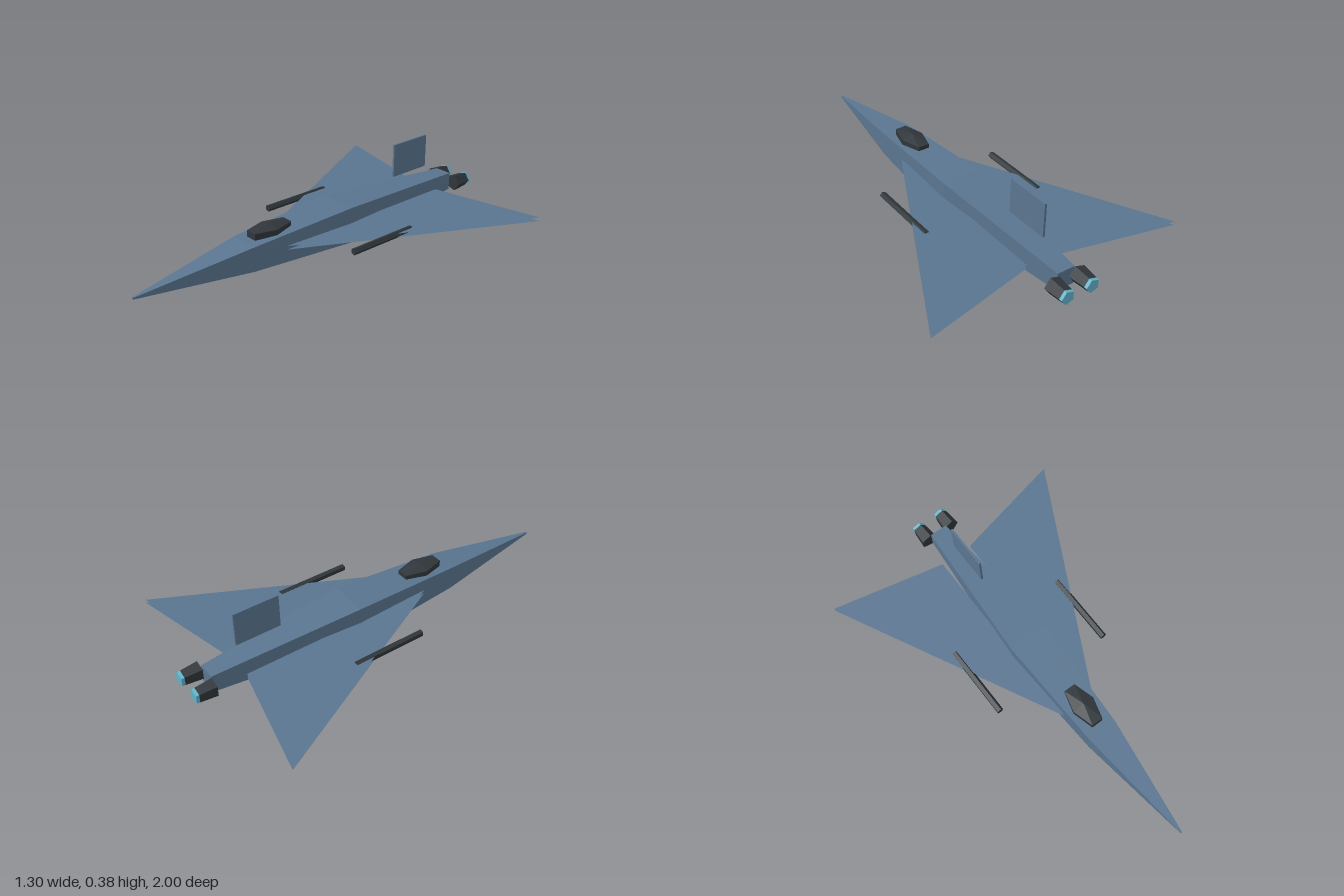
import * as THREE from 'three';

const mat = (name, color, extra = {}) =>
  Object.assign(new THREE.MeshStandardMaterial({ color, ...extra }), { name });

// faceted normals
const facet = (g) => {
  const f = g.index ? g.toNonIndexed() : g;
  f.computeVertexNormals();
  return f;
};

export function createModel() {
  const model = new THREE.Group();
  model.name = 'deltaJet';
  const blue = mat('slateBlue', 0x5a7590, { side: THREE.DoubleSide });
  const dark = mat('charcoal', 0x30363b);
  const white = mat('paleGrey', 0xd0d0cc);
  const teal = mat('exhaustTeal', 0x62b4cc);

  const add = (name, geometry, material, x = 0, y = 0, z = 0) => {
    const m = new THREE.Mesh(facet(geometry), material);
    m.name = name;
    m.position.set(x, y, z);
    model.add(m);
    return m;
  };

  // five-sided rod along z, one corner toward +x
  const rod = (rFront, rBack, length) =>
    new THREE.CylinderGeometry(rFront, rBack, length, 5, 1, false, Math.PI / 2).rotateX(Math.PI / 2);

  // fuselage: rectangular sections, each [z, half width, bottom, top]
  const sections = [
    [-0.9, 0.045, 0.05, 0.14],
    [-0.15, 0.1, 0, 0.183],
    [0.42, 0.075, 0.03, 0.152],
    [1, 0.004, 0.076, 0.084],
  ];
  const body = new THREE.BoxGeometry(1, 1, 1, 1, 1, 3);
  const p = body.attributes.position;
  for (let i = 0; i < p.count; i++) {
    const [z, w, bottom, top] = sections[Math.round((p.getZ(i) + 0.5) * 3)];
    p.setXYZ(i, Math.sign(p.getX(i)) * w, p.getY(i) > 0 ? top : bottom, z);
  }
  add('fuselage', body, blue);

  // canopy: squashed low-poly sphere
  add('canopy', new THREE.SphereGeometry(1, 6, 3).scale(0.067, 0.037, 0.14), dark, 0, 0.168, 0.275);

  // tail fin
  add('tailFin', new THREE.BoxGeometry(0.01, 0.17, 0.228), blue, 0, 0.295, -0.633);

  for (const [side, s] of [['left', 1], ['right', -1]]) {
    // delta wing: upper and lower skins with open edges
    const outline = new THREE.Shape([
      new THREE.Vector2(s * 0.085, -0.24),
      new THREE.Vector2(s * 0.65, 0.877),
      new THREE.Vector2(s * 0.085, 0.75),
    ]);
    for (const [skin, y, turn] of [['Upper', 0.103, -1], ['Lower', 0.085, 1]]) {
      const g = new THREE.ShapeGeometry(outline).rotateX(turn * Math.PI / 2);
      if (turn < 0) g.scale(1, 1, 1); // shape y already runs toward -z
      else g.rotateX(Math.PI);
      // keep the lower skin facing down
      if (turn > 0) g.setIndex([...g.index.array].reverse());
      add(`${side}Wing${skin}Skin`, g, blue, 0, y, 0);
    }

    // wing stores
    add(`${side}Gun`, rod(0.017, 0.017, 0.37), dark, s * 0.312, 0.094, -0.145);
    add(`${side}Missile`, rod(0.018, 0.018, 0.255), white, s * 0.23, 0.06, -0.325);

    // engine nozzle and glowing exhaust
    add(`${side}Nozzle`, rod(0.044, 0.036, 0.085), dark, s * 0.066 + 0.004, 0.095, -0.9425);
    add(`${side}Exhaust`, rod(0.036, 0.034, 0.015), teal, s * 0.066 + 0.004, 0.095, -0.9925);
  }

  // small side port between the wing skins
  add('sidePort', new THREE.ConeGeometry(0.009, 0.03, 5).rotateZ(-Math.PI / 2), dark, 0.105, 0.094, -0.15);

  return model;
}
